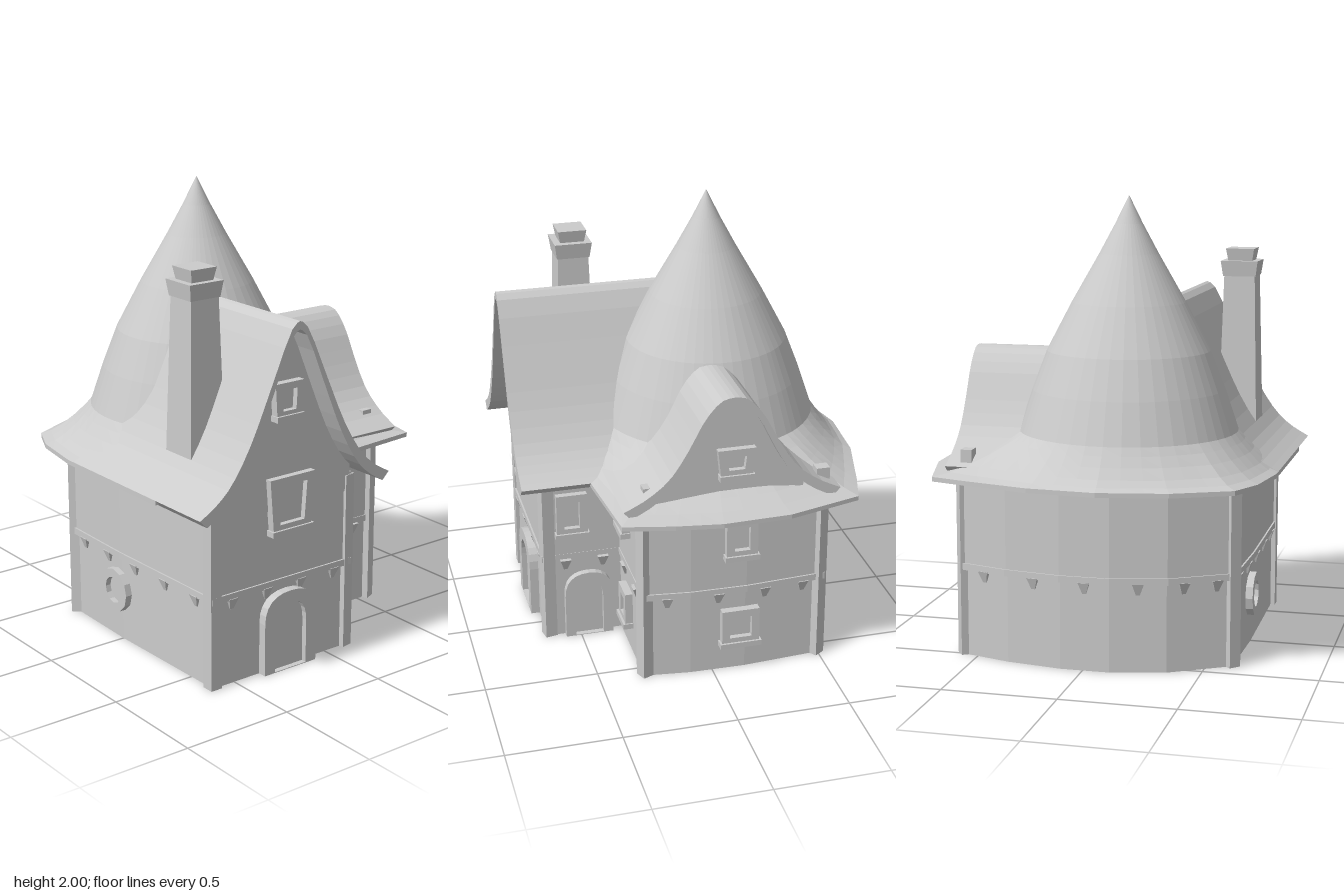
import * as THREE from 'three';

const mat = new THREE.MeshStandardMaterial({ color: 0xcccccc, flatShading: true, side: THREE.DoubleSide });
const v2 = (p) => new THREE.Vector2(p[0], p[1]);

function add(parent, name, geo, x = 0, y = 0, z = 0) {
  const m = new THREE.Mesh(geo, mat);
  m.name = name;
  m.position.set(x, y, z);
  parent.add(m);
  return m;
}

const extrude = (shape, depth) =>
  new THREE.ExtrudeGeometry(shape, { depth, bevelEnabled: false, curveSegments: 6 });

// Upright slab of a floor plan given as [x, z] points
const slab = (plan, height) =>
  extrude(new THREE.Shape(plan.map(([x, z]) => new THREE.Vector2(x, -z))), height).rotateX(-Math.PI / 2);

// Skin stretched over closed rings of equal point count, listed from top to bottom
function loft(rings) {
  const n = rings[0].length, idx = [];
  for (let i = 0; i < rings.length - 1; i++) {
    for (let j = 0; j < n; j++) {
      const k = (j + 1) % n, a = i * n + j, b = i * n + k;
      idx.push(a, b, a + n, b, b + n, a + n);
    }
  }
  const geo = new THREE.BufferGeometry().setFromPoints(rings.flat());
  geo.setIndex(idx);
  geo.computeVertexNormals();
  return geo;
}

// Curved gable: a roof band and the wall below it, facing +z
function gable(name, half, length, wallInset, wallBase, center) {
  const pts = new THREE.SplineCurve(half.map(v2)).getPoints(14);
  const inner = pts.map((p) => new THREE.Vector2(p.x * 0.93, p.y - 0.035));
  const both = (a) => [...a.slice(1).reverse().map((p) => new THREE.Vector2(-p.x, p.y)), ...a];
  const g = new THREE.Group();
  g.name = name;
  add(g, name + 'Roof', extrude(new THREE.Shape([...both(pts), ...both(inner).reverse()]), length), 0, 0, -length);
  const top = both(inner.filter((p) => p.y > wallBase));
  const e = top[top.length - 1].x;
  top.push(new THREE.Vector2(e, wallBase - 0.1), new THREE.Vector2(-e, wallBase - 0.1));
  add(g, name + 'Wall', extrude(new THREE.Shape(top), length - wallInset - 0.03), 0, 0, -length + 0.03);
  g.position.set(...center);
  return g;
}

// Framed opening facing +z: thick frame, shallow pane, optional sill
function opening(parent, name, w, h, pos, turn = 0, { kind = 'square', rim = 0.035, flare = 1 } = {}) {
  const outline = (W, H, base) => {
    const s = new THREE.Shape();
    if (kind === 'round') return s.absarc(0, 0, W / 2, 0, Math.PI * 2);
    if (kind === 'arch') {
      s.moveTo(-W / 2, base).lineTo(-W / 2, base + H * 0.65);
      s.quadraticCurveTo(-W / 2, base + H, 0, base + H);
      s.quadraticCurveTo(W / 2, base + H, W / 2, base + H * 0.65);
      return s.lineTo(W / 2, base);
    }
    s.moveTo(-W / 2, -H / 2).lineTo(W / 2, -H / 2);
    return s.lineTo(W / 2 * flare, H / 2).lineTo(-W / 2 * flare, H / 2);
  };
  const g = new THREE.Group();
  g.name = name;
  const frame = outline(w, h, 0);
  const hole = outline(w - 2 * rim, kind === 'arch' ? h - rim : h - 2 * rim, kind === 'arch' ? 0.003 : 0);
  frame.holes.push(new THREE.Path(hole.getPoints(6)));
  add(g, name + 'Frame', extrude(frame, 0.06), 0, 0, -0.03);
  add(g, name + 'Pane', extrude(hole, 0.035), 0, 0, -0.03);
  if (kind === 'square') add(g, name + 'Sill', new THREE.BoxGeometry(w * 1.1, 0.025, 0.08), 0, -h / 2, 0);
  g.position.set(...pos);
  g.rotation.y = turn;
  parent.add(g);
}

export function createModel() {
  const house = new THREE.Group();
  house.name = 'cottage';

  // Two storeys on an L-shaped plan with a bowed back wall
  const plan = [[-0.62, 0.66], [0.13, 0.66], [0.13, 0.31], [0.575, 0.31], [0.6, 0.1], [0.605, -0.15], [0.58, -0.51],
    [0.35, -0.58], [0.1, -0.62], [-0.12, -0.62], [-0.36, -0.56], [-0.62, -0.4], [-0.63, 0]];
  const grow = (k) => plan.map(([x, z]) => [x * k, z * k]);
  add(house, 'lowerStorey', slab(grow(0.985), 0.4));
  add(house, 'upperStorey', slab(plan, 0.42), 0, 0.39, 0);
  add(house, 'floorBeam', slab(grow(1.012), 0.03), 0, 0.385, 0);

  // Beam ends below the upper storey
  const brackets = new THREE.Group();
  brackets.name = 'brackets';
  house.add(brackets);
  plan.forEach(([x, z], i) => {
    const [x2, z2] = plan[(i + 1) % plan.length];
    const n = Math.max(1, Math.round(Math.hypot(x2 - x, z2 - z) / 0.2));
    for (let k = 0; k < n; k++) {
      const t = (k + 0.5) / n;
      const b = add(brackets, 'bracket', new THREE.CylinderGeometry(0.035, 0.012, 0.05, 4, 1).rotateY(Math.PI / 4),
        (x + (x2 - x) * t) * 0.98, 0.365, (z + (z2 - z) * t) * 0.98);
      b.rotation.y = -Math.atan2(z2 - z, x2 - x);
    }
  });

  // Corner posts, slightly crooked
  [[-0.605, 0.64], [0.112, 0.64], [0.555, 0.295], [0.565, -0.49], [-0.605, -0.39]].forEach(([x, z], i) => {
    const post = add(house, 'cornerPost', new THREE.BoxGeometry(0.055, 0.8, 0.055), x, 0.4, z);
    post.rotation.y = i * 0.2;
  });

  // Tall bell-shaped roof flowing out into wide eaves
  const apex = new THREE.Vector2(-0.09, -0.15);
  const eaves = [[0.76, 0], [0.73, 0.2], [0.68, 0.42], [0.24, 0.46], [-0.76, 0.46], [-0.76, -0.2], [-0.72, -0.45],
    [-0.65, -0.6], [-0.4, -0.72], [-0.1, -0.78], [0.2, -0.76], [0.5, -0.68], [0.66, -0.63], [0.75, -0.3]];
  const rim = [];
  eaves.forEach((p, i) => {
    const a = v2(p), b = v2(eaves[(i + 1) % eaves.length]);
    const n = Math.max(2, Math.round(a.distanceTo(b) / 0.1));
    for (let k = 0; k < n; k++) rim.push(a.clone().lerp(b, k / n));
  });
  const ring = (y, place) => rim.map((p) => {
    const q = place(p, p.clone().sub(apex));
    return new THREE.Vector3(q.x, y, q.y);
  });
  const circle = (r) => (p, d) => d.clone().setLength(r).add(apex);
  const rings = [[0.001, 2], [0.06, 1.88], [0.13, 1.75], [0.25, 1.54], [0.36, 1.33], [0.425, 1.16], [0.465, 1.04]]
    .map(([r, y]) => ring(y, circle(r)));
  for (const t of [0, 0.15, 0.35, 0.6, 0.8, 1]) {
    rings.push(ring(0.815 + 0.165 * Math.pow(1 - t, 1.5), (p, d) => circle(0.485)(p, d).lerp(p, t)));
  }
  rings.push(ring(0.795, (p) => p.clone()));
  rings.push(ring(0.805, (p, d) => d.clone().multiplyScalar(0.65).add(apex)));
  add(house, 'towerRoof', loft(rings));

  // Front wing gable
  house.add(gable('frontGable',
    [[0, 1.555], [0.05, 1.51], [0.16, 1.27], [0.25, 1.08], [0.34, 0.94], [0.42, 0.865], [0.505, 0.815]],
    0.92, 0.1, 0.83, [-0.255, 0, 0.765]));

  // Side dormer
  const dormer = gable('sideDormer',
    [[0, 1.325], [0.06, 1.31], [0.13, 1.23], [0.2, 1.1], [0.28, 0.98], [0.38, 0.9], [0.48, 0.85]],
    0.5, 0.05, 0.88, [0.625, 0, -0.08]);
  dormer.rotation.y = Math.PI / 2;
  house.add(dormer);

  // Chimney with flared cap and pot
  const chimney = new THREE.Group();
  chimney.name = 'chimney';
  chimney.position.set(-0.495, 0, 0.38);
  house.add(chimney);
  const tier = (name, top, bottom, y0, y1) => add(chimney, name,
    new THREE.CylinderGeometry(top * Math.SQRT1_2, bottom * Math.SQRT1_2, y1 - y0, 4, 1).rotateY(Math.PI / 4), 0, (y0 + y1) / 2, 0);
  tier('chimneyStack', 0.14, 0.18, 0.88, 1.63);
  tier('chimneyCap', 0.17, 0.15, 1.62, 1.69);
  tier('chimneyPot', 0.13, 0.11, 1.69, 1.745);

  // Windows and doors
  const side = Math.PI / 2;
  opening(house, 'frontWindow', 0.2, 0.24, [-0.225, 0.755, 0.665], 0, { flare: 1.2 });
  opening(house, 'atticWindow', 0.13, 0.15, [-0.25, 1.21, 0.67], 0, { flare: 1.15, rim: 0.03 });
  opening(house, 'frontDoor', 0.28, 0.36, [-0.225, 0, 0.66], 0, { kind: 'arch', rim: 0.055 });
  opening(house, 'annexUpperWindow', 0.13, 0.18, [0.285, 0.68, 0.315]);
  opening(house, 'annexLowerWindow', 0.13, 0.16, [0.3, 0.22, 0.31]);
  opening(house, 'sideUpperWindow', 0.14, 0.18, [0.605, 0.66, -0.12], side);
  opening(house, 'sideLowerWindow', 0.17, 0.17, [0.6, 0.22, -0.12], side);
  opening(house, 'dormerWindow', 0.14, 0.13, [0.575, 1.01, -0.1], side, { flare: 1.2 });
  opening(house, 'wingSideWindow', 0.14, 0.2, [0.13, 0.62, 0.53], side);
  opening(house, 'wingSideDoor', 0.22, 0.32, [0.13, 0, 0.46], side, { kind: 'arch', rim: 0.045 });
  opening(house, 'roundWindow', 0.2, 0.2, [-0.62, 0.23, -0.03], -side, { kind: 'round', rim: 0.04 });

  // Small pegs on the eaves
  for (const z of [-0.5, 0.27]) add(house, 'roofPeg', new THREE.BoxGeometry(0.05, 0.07, 0.06), 0.54, 0.885, z);

  return house;
}
